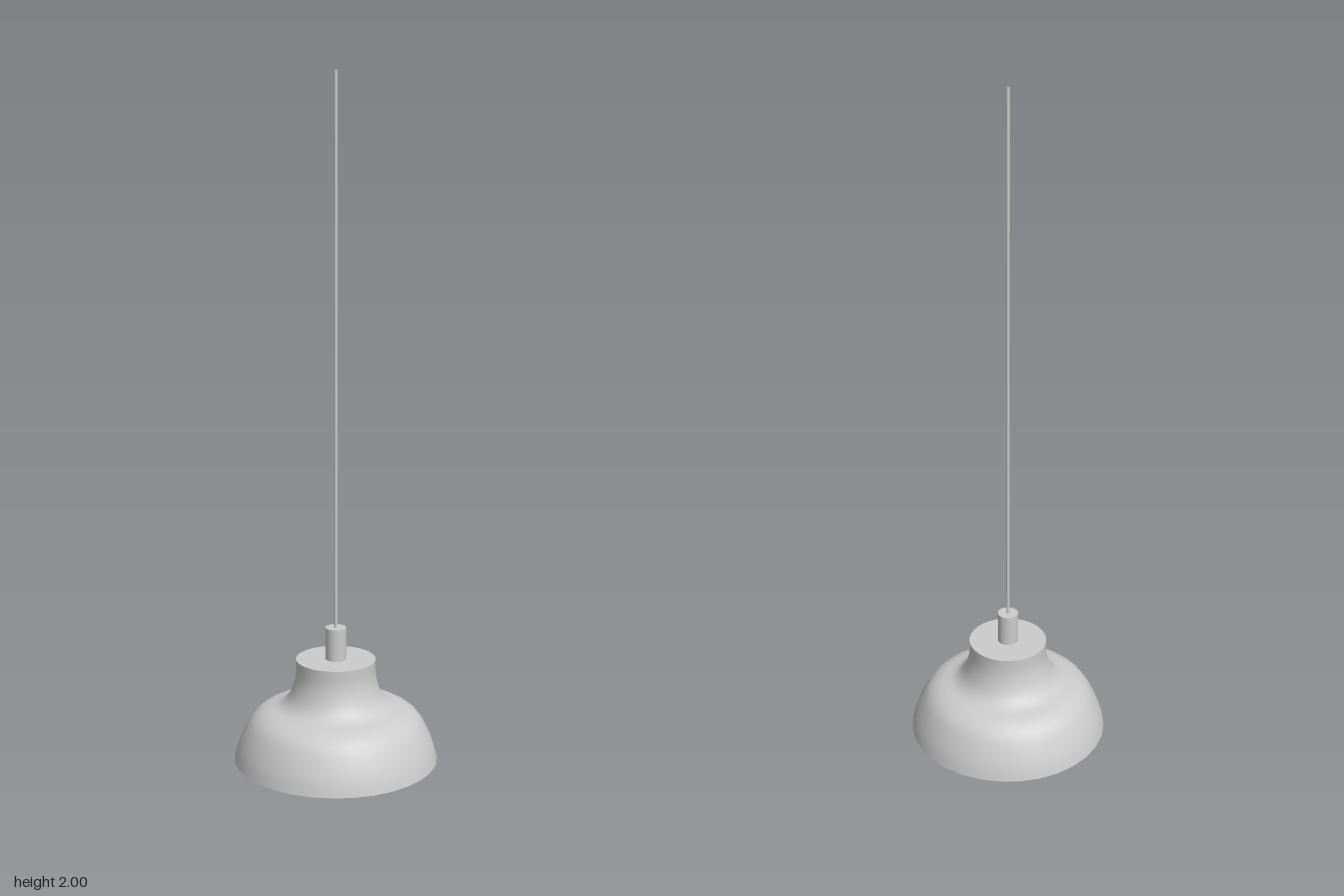
import * as THREE from 'three';

const material = new THREE.MeshStandardMaterial({ color: 0xcccccc, side: THREE.DoubleSide });
const SIDES = 32;

function part(name, geometry, y = 0) {
  const mesh = new THREE.Mesh(geometry, material);
  mesh.name = name;
  mesh.position.y = y;
  return mesh;
}

function lathe(points) {
  return new THREE.LatheGeometry(points.map(([r, y]) => new THREE.Vector2(r, y)), SIDES);
}

export function createModel() {
  const lamp = new THREE.Group();
  lamp.name = 'pendantLamp';

  // Bell shaped shade: smooth curve from the rim up to the straight neck
  const bell = new THREE.SplineCurve([
    [0.302, 0], [0.292, 0.04], [0.272, 0.087], [0.247, 0.127], [0.212, 0.151], [0.167, 0.165],
    [0.139, 0.193], [0.123, 0.235], [0.118, 0.27], [0.118, 0.305],
  ].map(([r, y]) => new THREE.Vector2(r, y)));
  lamp.add(part('shade', new THREE.LatheGeometry(bell.getPoints(27), SIDES)));

  // Conical lining inside the shade
  lamp.add(part('shadeLining', lathe([[0.3, 0.001], [0.13, 0.168]])));

  // Flat lid on the neck
  const lid = new THREE.CircleGeometry(0.118, SIDES);
  lid.rotateX(-Math.PI / 2);
  lamp.add(part('shadeLid', lid, 0.305));

  // Round bulb and its socket inside the neck
  lamp.add(part('bulb', new THREE.SphereGeometry(0.077, 24, 16), 0.178));
  lamp.add(part('bulbSocket', new THREE.CylinderGeometry(0.031, 0.031, 0.07, 24), 0.27));

  // Cable grip and the long hanging cable
  lamp.add(part('cableGrip', new THREE.CylinderGeometry(0.031, 0.031, 0.097, 24), 0.3525));
  lamp.add(part('cable', new THREE.CylinderGeometry(0.005, 0.005, 1.6, 12, 1, true), 1.2));

  return lamp;
}
